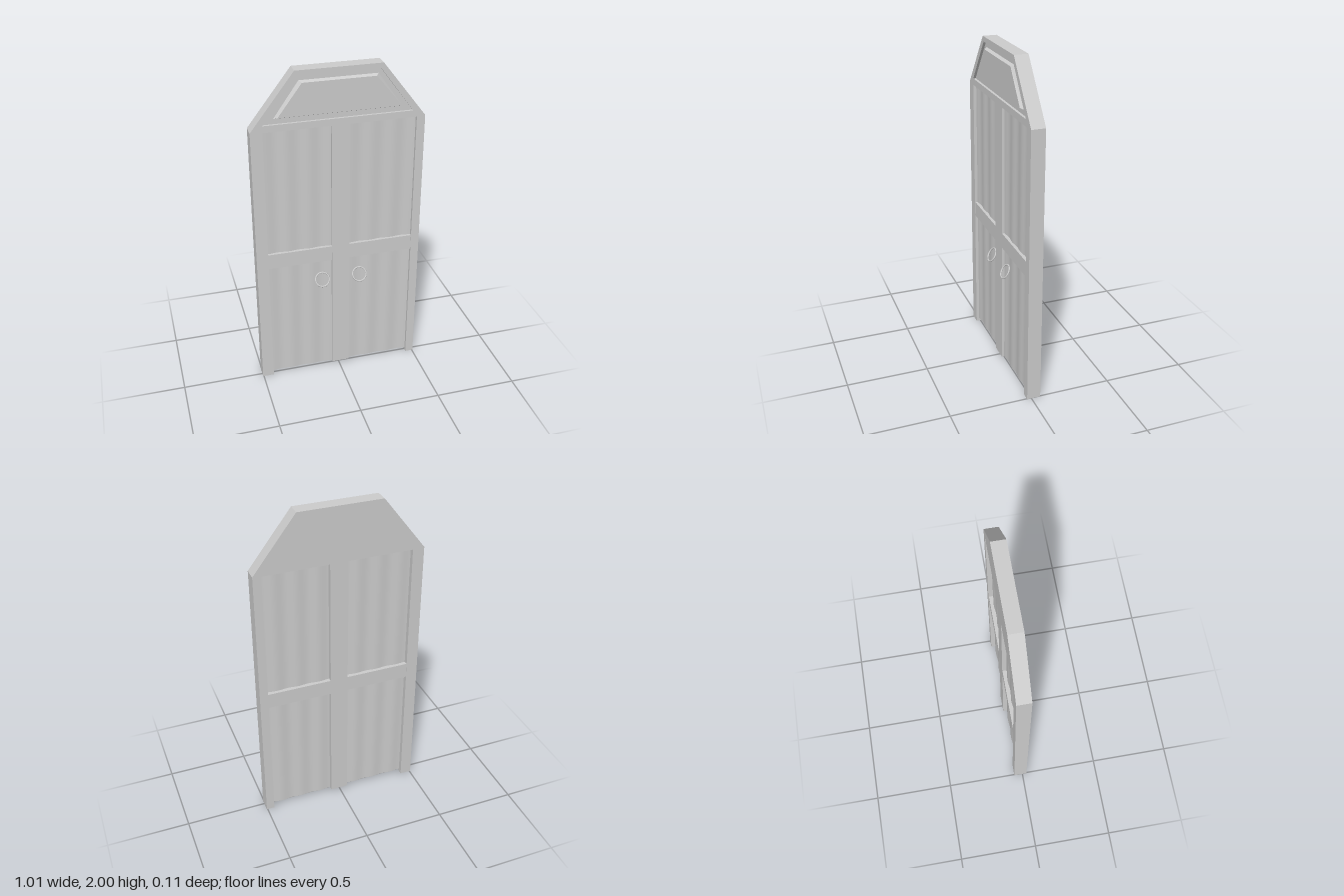
import * as THREE from 'three';

const BACK = -0.056, FRONT = 0.027;

export function createModel() {
  const door = new THREE.Group();
  door.name = 'door';
  const mat = new THREE.MeshStandardMaterial({ color: 0xcccccc, flatShading: true });
  const smooth = new THREE.MeshStandardMaterial({ color: 0xcccccc });

  const add = (name, geo, material = mat) => {
    const mesh = new THREE.Mesh(geo, material);
    mesh.name = name;
    door.add(mesh);
    return mesh;
  };
  const box = (name, x0, x1, y0, y1, z0, z1) =>
    add(name, new THREE.BoxGeometry(x1 - x0, y1 - y0, z1 - z0))
      .position.set((x0 + x1) / 2, (y0 + y1) / 2, (z0 + z1) / 2);
  const points = list => list.map(([x, y]) => new THREE.Vector2(x, y));
  const slab = (name, shape, z0, z1) =>
    add(name, new THREE.ExtrudeGeometry(shape, { depth: z1 - z0, bevelEnabled: false })).position.z = z0;

  // Side posts with slanted shoulders and the solid top, as one outline
  const outline = new THREE.Shape(points([
    [-0.505, 0], [-0.435, 0], [-0.435, 1.665], [0.455, 1.665], [0.455, 0],
    [0.505, 0], [0.505, 1.67], [0.25, 2], [-0.25, 2], [-0.505, 1.67],
  ]));
  slab('frameBack', outline, BACK, 0.012);
  const face = outline.clone();
  face.holes.push(new THREE.Path(points([[-0.435, 1.705], [-0.235, 1.97], [0.235, 1.97], [0.43, 1.705]])));
  slab('frameFace', face, 0.012, FRONT);

  // Raised top panel with sloping edges
  const lower = [[-0.37, 1.735], [0.37, 1.735], [0.225, 1.94], [-0.225, 1.94]];
  const upper = [[-0.35, 1.743], [0.35, 1.743], [0.21, 1.93], [-0.21, 1.93]];
  const verts = [...lower.map(p => [...p, 0.012]), ...upper.map(p => [...p, 0.03])];
  const index = [4, 5, 6, 4, 6, 7];
  for (let i = 0; i < 4; i++) {
    const j = (i + 1) % 4;
    index.push(i, j, j + 4, i, j + 4, i + 4);
  }
  const raised = new THREE.BufferGeometry();
  raised.setAttribute('position', new THREE.Float32BufferAttribute(verts.flat(), 3));
  raised.setIndex(index);
  raised.computeVertexNormals();
  add('topPanel', raised);

  // Middle post and cross rail
  box('middlePost', -0.045, 0.063, 0.02, 1.665, BACK + 0.002, FRONT - 0.002);
  box('crossRail', -0.435, 0.455, 0.793, 0.888, BACK + 0.003, FRONT - 0.003);

  // Four recessed panels with gently rippled boards
  for (const [x0, x1] of [[-0.435, -0.045], [0.063, 0.455]]) {
    for (const [y0, y1] of [[0.02, 0.793], [0.888, 1.665]]) {
      const geo = new THREE.BoxGeometry(x1 - x0, y1 - y0, 0.036, 24, 1, 1);
      const pos = geo.attributes.position;
      for (let i = 0; i < pos.count; i++) {
        const t = pos.getX(i) / (x1 - x0) + 0.5;
        pos.setZ(i, pos.getZ(i) + 0.003 * Math.cos(t * Math.PI * 6));
      }
      geo.computeVertexNormals();
      add('boardPanel', geo, smooth).position.set((x0 + x1) / 2, (y0 + y1) / 2, -0.012);
    }
  }

  // Ring handles hanging tilted out from the boards
  for (const x of [-0.108, 0.127]) {
    const ring = add('ringHandle', new THREE.TorusGeometry(0.043, 0.005, 8, 32), smooth);
    ring.position.set(x, 0.666, 0.028);
    ring.rotation.x = -0.53;
  }
  return door;
}
